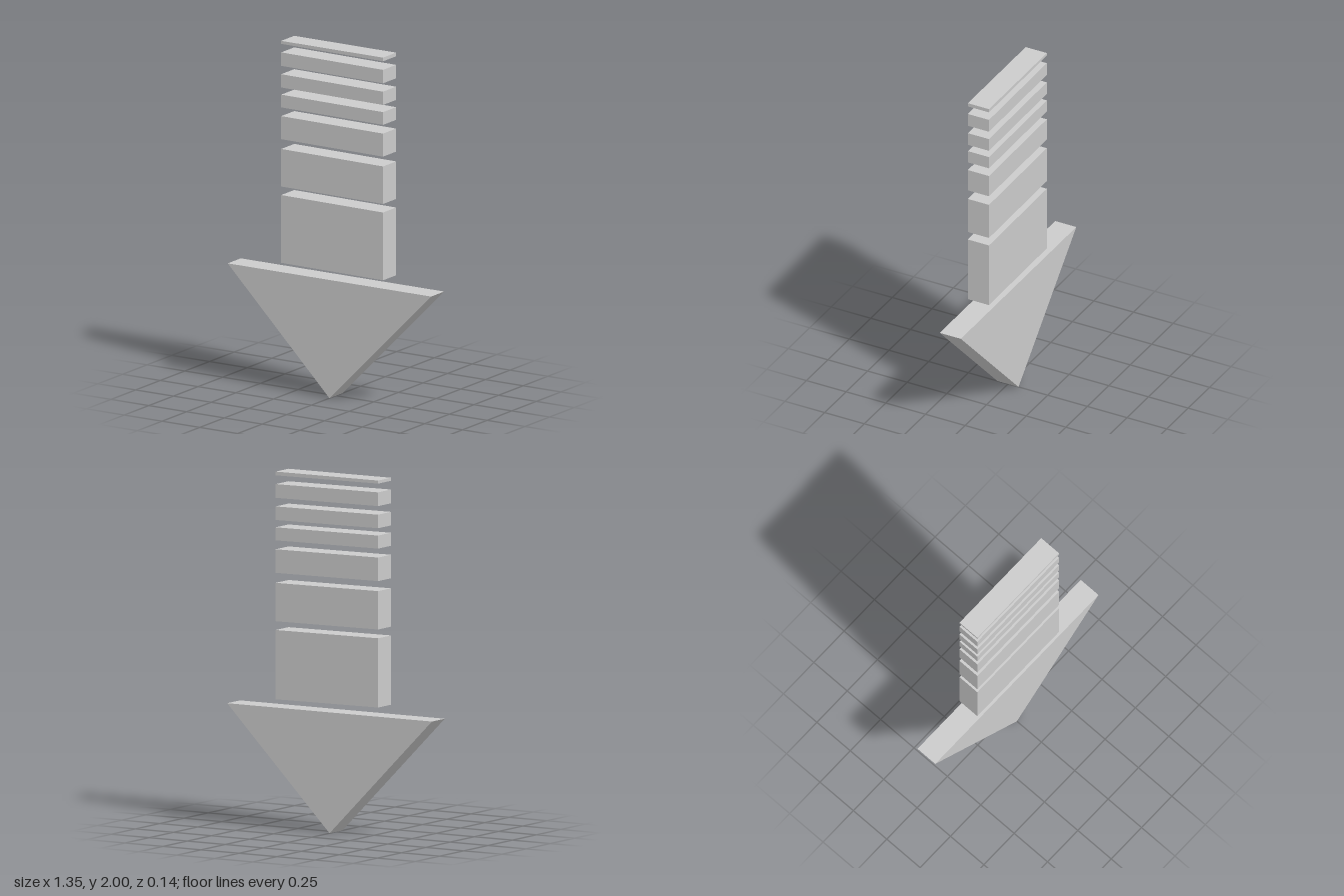
import * as THREE from 'three';

const DEPTH = 0.133;

// Flat plate extruded from an outline, centred on the given z
function plate(name, points, z, material) {
  const shape = new THREE.Shape(points.map(([x, y]) => new THREE.Vector2(x, y)));
  const geometry = new THREE.ExtrudeGeometry(shape, { depth: DEPTH, bevelEnabled: false });
  geometry.translate(0, 0, z - DEPTH / 2);
  const mesh = new THREE.Mesh(geometry, material);
  mesh.name = name;
  return mesh;
}

export function createModel() {
  const group = new THREE.Group();
  group.name = 'segmentedArrow';
  const material = new THREE.MeshStandardMaterial({ color: 0xcccccc, flatShading: true });

  // Arrow head pointing down
  group.add(plate('arrowHead', [[0, 0], [0.673, 0.677], [-0.673, 0.677]], 0, material));

  // Shaft bars, thinning upwards: bottom and top heights at the -x end
  const bars = [
    [0.729, 1.117], [1.166, 1.381], [1.437, 1.569], [1.619, 1.692],
    [1.733, 1.809], [1.857, 1.934], [1.983, 2.0],
  ];
  const left = 0.352, right = -0.322, drop = 0.005; // bars tilt slightly
  bars.forEach(([low, high], i) => {
    const topDrop = i === bars.length - 1 ? 0.001 : drop;
    group.add(plate(`shaftBar${i + 1}`, [
      [right, low], [left, low - drop], [left, high - topDrop], [right, high],
    ], -0.004, material));
  });

  return group;
}
